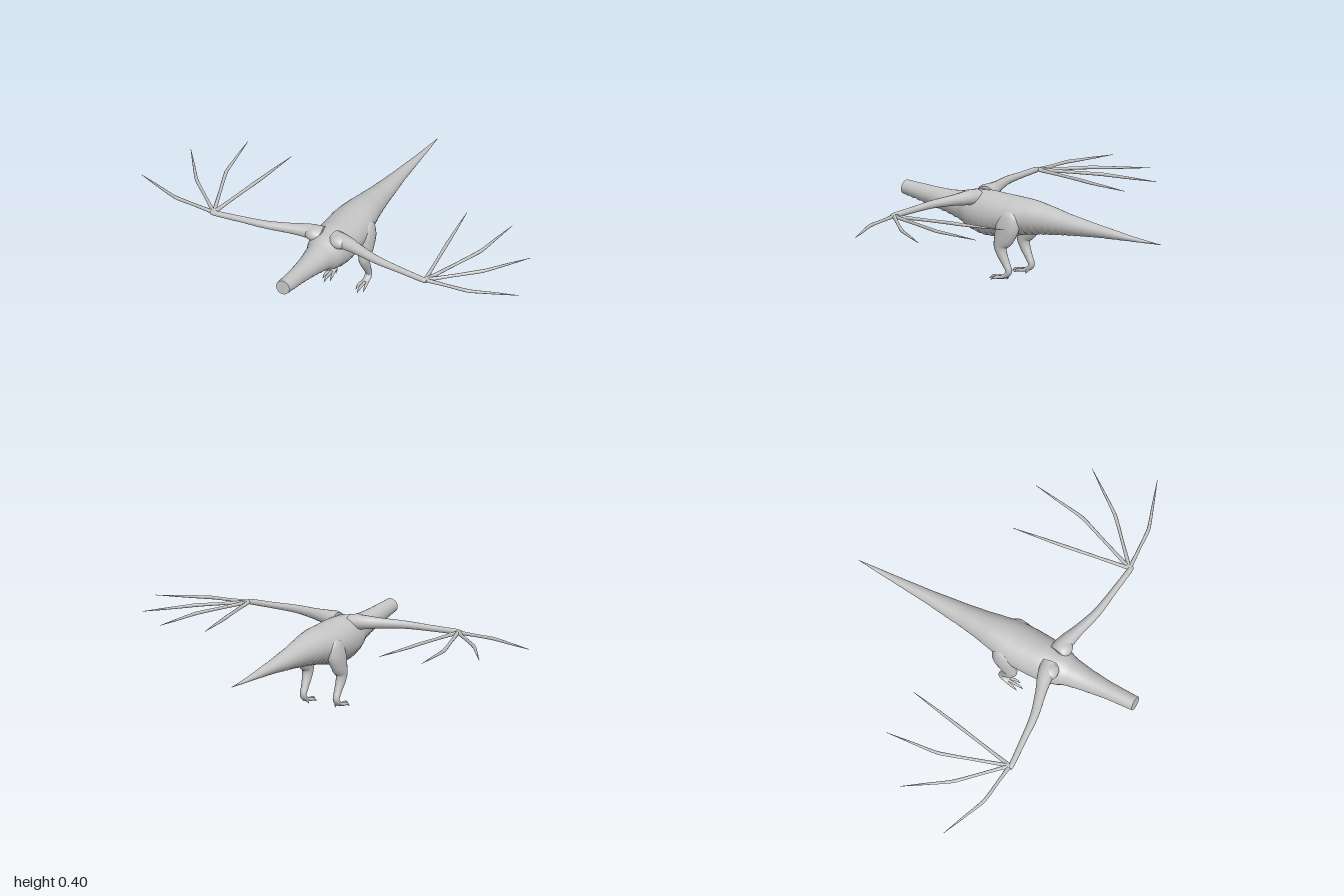
import * as THREE from 'three';

const skin = new THREE.MeshStandardMaterial({ color: 0xc4c4c4 });
skin.name = 'plain grey skin';

// Smooth tube through stations [x, y, z, radius along ref, radius across], with flat end caps.
// shape(point, angle) may push ring points around.
function loft(name, stations, ref, { rings = 24, sides = 14, shape } = {}) {
  const path = new THREE.CatmullRomCurve3(stations.map(s => new THREE.Vector3(s[0], s[1], s[2])), false, 'centripetal');
  const size = new THREE.CatmullRomCurve3(stations.map(s => new THREE.Vector3(s[3], s[4], 0)), false, 'catmullrom', 0.4);
  const pos = [], index = [], ends = [];
  for (let i = 0; i <= rings; i++) {
    const t = i / rings, c = path.getPoint(t), r = size.getPoint(t);
    const tan = path.getTangent(t);
    const u = ref.clone().addScaledVector(tan, -ref.dot(tan)).normalize();
    const v = tan.clone().cross(u);
    const ring = [];
    for (let j = 0; j < sides; j++) {
      const a = j / sides * Math.PI * 2;
      const p = c.clone().addScaledVector(u, Math.cos(a) * Math.max(r.x, 0.0008)).addScaledVector(v, Math.sin(a) * Math.max(r.y, 0.0008));
      if (shape) shape(p, c);
      ring.push(p);
      pos.push(p.x, p.y, p.z);
      if (i < rings) {
        const k = i * sides + j, n = i * sides + (j + 1) % sides;
        index.push(k, n, k + sides, n, n + sides, k + sides);
      }
    }
    if (i === 0 || i === rings) ends.push([c, ring, i === 0]);
  }
  for (const [c, ring, start] of ends) {
    const base = pos.length / 3;
    pos.push(c.x, c.y, c.z);
    ring.forEach(p => pos.push(p.x, p.y, p.z));
    for (let j = 0; j < sides; j++) {
      const a = base + 1 + j, b = base + 1 + (j + 1) % sides;
      if (start) index.push(base, b, a); else index.push(base, a, b);
    }
  }
  const g = new THREE.BufferGeometry();
  g.setAttribute('position', new THREE.Float32BufferAttribute(pos, 3));
  g.setIndex(index);
  g.computeVertexNormals();
  const mesh = new THREE.Mesh(g, skin);
  mesh.name = name;
  return mesh;
}

const X = new THREE.Vector3(1, 0, 0), Y = new THREE.Vector3(0, 1, 0);

// Neck, trunk and tail: [z, top, bottom, half width], with overlapping plates underneath
function body() {
  const profile = [
    [0.737, 0.373, 0.305, 0.035], [0.6, 0.366, 0.28, 0.041], [0.5, 0.363, 0.26, 0.052],
    [0.4, 0.37, 0.235, 0.068], [0.33, 0.388, 0.205, 0.092], [0.25, 0.393, 0.186, 0.102],
    [0.15, 0.389, 0.195, 0.105], [0.07, 0.386, 0.212, 0.1], [0, 0.382, 0.224, 0.085],
    [-0.1, 0.366, 0.236, 0.066], [-0.2, 0.346, 0.247, 0.052], [-0.4, 0.317, 0.262, 0.03],
    [-0.6, 0.291, 0.271, 0.013], [-0.737, 0.279, 0.277, 0.001],
  ];
  const plates = (p, c) => {
    const below = Math.max(0, (c.y - p.y) / 0.1);
    const saw = (((0.74 - p.z) / 0.036) % 1 + 1) % 1;
    const bulge = Math.sin(saw * Math.PI) - 0.5;
    if (p.z < 0.72) p.y -= bulge * 0.012 * below;
  };
  return loft('body', profile.map(([z, top, low, w]) => [0, (top + low) / 2, z, w, (top - low) / 2]), X,
    { rings: 240, sides: 28, shape: plates });
}

// Bare wing: shoulder, arm and four jointed fingers
function wing(s, name) {
  const g = new THREE.Group();
  g.name = name;
  const shoulder = new THREE.Mesh(new THREE.SphereGeometry(1, 20, 14), skin);
  shoulder.name = 'shoulder';
  shoulder.scale.set(0.05, 0.034, 0.045);
  shoulder.position.set(s * 0.065, 0.366, 0.315);
  g.add(shoulder);
  g.add(loft('arm', [
    [s * 0.03, 0.365, 0.3, 0.034, 0.042], [s * 0.09, 0.366, 0.31, 0.034, 0.038],
    [s * 0.18, 0.367, 0.335, 0.025, 0.026], [s * 0.29, 0.367, 0.365, 0.019, 0.02],
    [s * 0.42, 0.364, 0.38, 0.015, 0.015], [s * 0.55, 0.361, 0.393, 0.013, 0.013],
    [s * 0.572, 0.36, 0.395, 0.009, 0.01],
  ], Y));
  const fingers = [
    [0.77, 0.37, 1.0, 0.285], [0.755, 0.2, 0.9, -0.005],
    [0.67, 0.07, 0.7, -0.19], [0.505, 0.07, 0.465, -0.18],
  ];
  fingers.forEach(([mx, mz, tx, tz], i) => {
    const at = (k, r) => [s * (0.56 + (mx - 0.56) * k), 0.36, 0.388 + (mz - 0.388) * k, r, r];
    const tip = (k, r) => [s * (mx + (tx - mx) * k), 0.359, mz + (tz - mz) * k, r, r];
    g.add(loft('finger ' + (i + 1), [at(0, 0.01), at(0.5, 0.0075), at(0.95, 0.0085),
      tip(0.05, 0.008), tip(0.5, 0.0055), tip(1, 0.001)], Y, { sides: 8, rings: 20 }));
  });
  return g;
}

// Bird-like leg with clawed toes
function leg(s, name) {
  const g = new THREE.Group();
  g.name = name;
  g.add(loft('thigh and shin', [
    [s * 0.07, 0.335, 0.07, 0.012, 0.02], [s * 0.08, 0.31, 0.073, 0.028, 0.046],
    [s * 0.085, 0.26, 0.085, 0.034, 0.062], [s * 0.089, 0.21, 0.102, 0.03, 0.054],
    [s * 0.09, 0.165, 0.122, 0.026, 0.036], [s * 0.09, 0.13, 0.115, 0.023, 0.026],
    [s * 0.088, 0.08, 0.09, 0.018, 0.018], [s * 0.088, 0.048, 0.076, 0.016, 0.015],
    [s * 0.088, 0.03, 0.088, 0.017, 0.012], [s * 0.088, 0.019, 0.115, 0.017, 0.008],
  ], X, { rings: 40, sides: 16 }));
  [-1, 0, 1].forEach(k => {
    const reach = k ? 0.165 : 0.188;
    g.add(loft('toe', [
      [s * (0.088 + k * 0.008), 0.021, 0.095, 0.007, 0.008],
      [s * (0.088 + k * 0.014), 0.017, 0.125, 0.007, 0.008],
      [s * (0.088 + k * 0.018), 0.015, reach - 0.022, 0.006, 0.007],
      [s * (0.088 + k * 0.02), 0.002, reach, 0.001, 0.001],
    ], X, { rings: 12, sides: 8 }));
  });
  g.add(loft('spur', [[s * 0.08, 0.028, 0.085, 0.006, 0.006], [s * 0.075, 0.016, 0.092, 0.005, 0.005],
    [s * 0.072, 0.004, 0.1, 0.001, 0.001]], X, { rings: 8, sides: 8 }));
  return g;
}

export function createModel() {
  const model = new THREE.Group();
  model.name = 'winged creature';
  model.add(body());
  for (const [s, side] of [[1, 'left'], [-1, 'right']]) model.add(wing(s, side + ' wing'), leg(s, side + ' leg'));
  return model;
}
